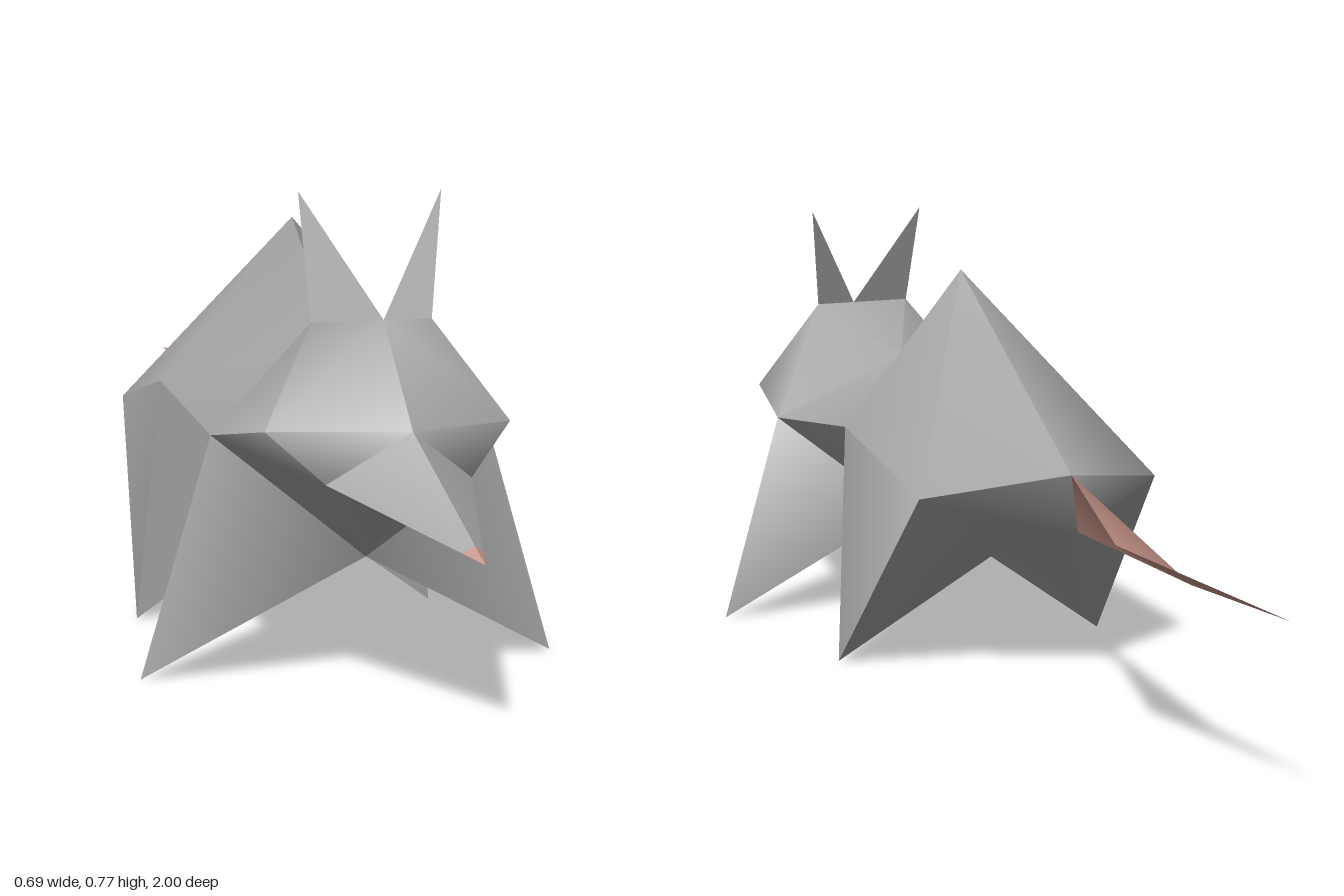
import * as THREE from 'three';
import { toCreasedNormals } from 'three/addons/utils/BufferGeometryUtils.js';

const grey = new THREE.MeshStandardMaterial({ color: 0xa8a8a8, side: THREE.DoubleSide });
grey.name = 'grey fur';
const pink = new THREE.MeshStandardMaterial({ color: 0xc8968a, side: THREE.DoubleSide });
pink.name = 'pink skin';

// Builds a mesh from a list of triangles, each a triple of points
function facets(name, triangles, material, crease = 1.1) {
  let geometry = new THREE.BufferGeometry();
  geometry.setAttribute('position', new THREE.Float32BufferAttribute(triangles.flat(2), 3));
  geometry = toCreasedNormals(geometry, crease);
  const mesh = new THREE.Mesh(geometry, material);
  mesh.name = name;
  return mesh;
}

const lerp = (a, b, t) => a.map((v, i) => v + (b[i] - v) * t);

// Landmarks on the centre line
const noseTip = [0.04, 0.272, 1], brow = [0, 0.43, 0.8], crown = [0, 0.578, 0.66];
const nape = [0, 0.5, 0.43], hump = [0, 0.695, 0.16];
const tailTop = [0, 0.39, -0.27], tailLow = [-0.035, 0.28, -0.23];
const chin = [0, 0.345, 0.74], chest = [0, 0.195, 0.58];
const bellyFront = [0, 0.195, 0.43], bellyBack = [0, 0.195, 0.16], groin = [0, 0.24, -0.07];

export function createModel() {
  const group = new THREE.Group();
  const skin = [], nose = [];

  for (const s of [1, -1]) {
    const at = (x, y, z) => [s * x, y, z];
    const put = (list, ...tris) =>
      tris.forEach(([a, b, c]) => list.push(s > 0 ? [a, b, c] : [a, c, b]));

    // Landmarks on this side
    const earBase = at(s > 0 ? 0.077 : 0.115, 0.578, 0.66), earTip = at(0.115, 0.77, 0.59);
    const cheek = at(0.195, 0.42, 0.69), jaw = at(0.115, 0.345, 0.74);
    const shoulder = at(0.23, 0.385, 0.5), hip = at(0.232, 0.422, 0.16);
    const rump = at(0.23, 0.348, -0.155);
    const frontFoot = at(0.345, 0, 0.5), hindFoot = at(0.267, 0, 0.12);

    // Head and neck
    put(skin, [crown, brow, cheek], [crown, cheek, earBase], [brow, jaw, cheek],
      [earBase, cheek, shoulder], [earBase, shoulder, nape], [crown, earBase, nape],
      [chin, chest, jaw], [jaw, chest, shoulder], [jaw, shoulder, cheek]);

    // Snout, with its end coloured as the nose
    const k = 0.86;
    const b = lerp(brow, noseTip, k), j = lerp(jaw, noseTip, k), c = lerp(chin, noseTip, k);
    put(skin, [brow, b, j], [brow, j, jaw], [chin, jaw, j], [chin, j, c]);
    put(nose, [b, noseTip, j], [noseTip, c, j]);

    // Back, flank and belly
    put(skin, [nape, shoulder, hip], [nape, hip, hump], [hump, hip, rump], [hump, rump, tailTop],
      [shoulder, bellyFront, hip], [bellyFront, bellyBack, hip],
      [rump, groin, tailLow], [rump, tailLow, tailTop]);

    // Front leg
    put(skin, [shoulder, chest, frontFoot], [shoulder, frontFoot, bellyFront],
      [chest, bellyFront, frontFoot]);

    // Hind leg
    put(skin, [hip, bellyBack, hindFoot], [hip, hindFoot, rump],
      [rump, hindFoot, groin], [bellyBack, groin, hindFoot]);

    // Flat pointed ear
    const ear = [];
    put(ear, [crown, earBase, earTip]);
    group.add(facets(s > 0 ? 'leftEar' : 'rightEar', ear, grey));
  }

  group.add(facets('body', skin, grey));
  group.add(facets('nose', nose, pink));

  // Tail: a thin bent ribbon
  const bendRight = [0.11, 0.353, -0.62], bendLeft = [0.04, 0.307, -0.73], end = [0.04, 0.315, -1];
  group.add(facets('tail', [
    [tailTop, bendLeft, tailLow], [tailTop, bendRight, bendLeft], [bendLeft, bendRight, end],
  ], pink));

  return group;
}
